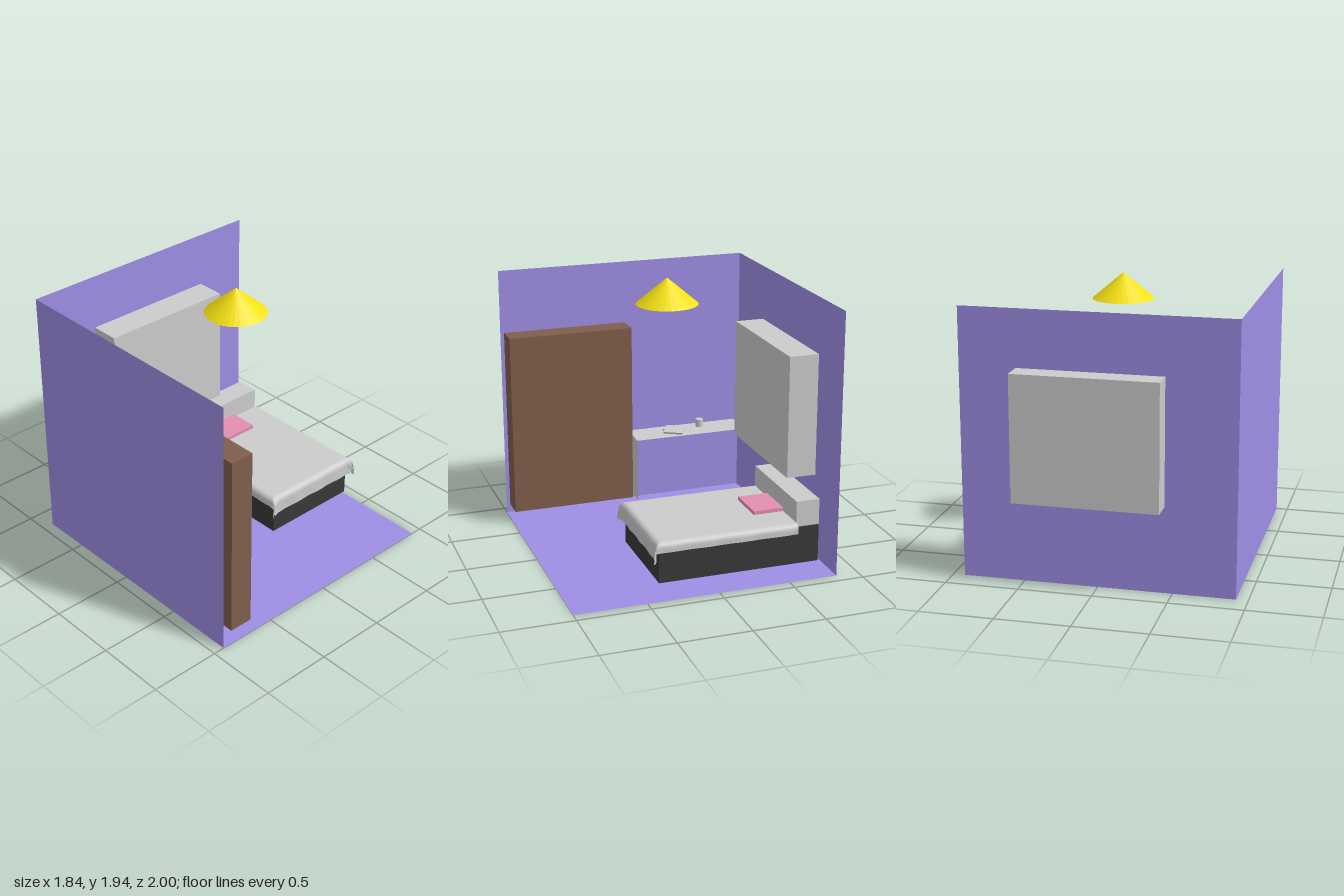
import * as THREE from 'three';

const mat = (color, extra = {}) => new THREE.MeshStandardMaterial({ color, ...extra });
const grey = mat(0xcccccc);
const greySheet = mat(0xcccccc, { side: THREE.DoubleSide });
const purple = mat(0x9e8ee5, { side: THREE.DoubleSide });
const brown = mat(0x805e4c);
const dark = mat(0x383838);
const pink = mat(0xe38fb2);
const yellow = mat(0xf5e012, { flatShading: true, side: THREE.DoubleSide });

export function createModel() {
  const room = new THREE.Group();
  room.name = 'bedroom';

  const add = (name, geometry, material, parent = room) => {
    const mesh = new THREE.Mesh(geometry, material);
    mesh.name = name;
    parent.add(mesh);
    return mesh;
  };
  // Box given by its lower and upper limits on each axis
  const box = (name, [x0, x1], [y0, y1], [z0, z1], material, parent) => {
    const mesh = add(name, new THREE.BoxGeometry(x1 - x0, y1 - y0, z1 - z0), material, parent);
    mesh.position.set((x0 + x1) / 2, (y0 + y1) / 2, (z0 + z1) / 2);
    return mesh;
  };
  // Thin sheet, turned to face the wanted axis
  const sheet = (name, w, h, pos, rot, material, parent) => {
    const mesh = add(name, new THREE.PlaneGeometry(w, h), material, parent);
    mesh.position.set(...pos);
    mesh.rotation.set(...rot);
    return mesh;
  };
  const group = (name) => {
    const g = new THREE.Group();
    g.name = name;
    room.add(g);
    return g;
  };

  // Room shell: floor and two walls
  sheet('floor', 1.84, 1.84, [0, 0, 0.08], [-Math.PI / 2, 0, 0], purple);
  sheet('backWall', 1.84, 1.84, [0, 0.92, -0.84], [0, 0, 0], purple);
  sheet('sideWall', 1.84, 1.84, [-0.92, 0.92, 0.08], [0, Math.PI / 2, 0], purple);

  box('windowBlock', [-0.445, 0.535], [0.59, 1.45], [-1, -0.63], grey);
  box('wardrobe', [-0.842, -0.672], [0.095, 1.405], [0.09, 0.99], brown);

  // Ceiling lamp
  const lamp = add('lampShade', new THREE.ConeGeometry(0.212, 0.18, 32), yellow);
  lamp.position.set(0.045, 1.845, 0.065);

  // Desk: thin top and one end panel
  const desk = group('desk');
  sheet('deskTop', 0.245, 0.845, [-0.715, 0.567, -0.347], [-Math.PI / 2, 0, 0], greySheet, desk);
  sheet('deskEndPanel', 0.245, 0.467, [-0.715, 0.333, 0.075], [0, 0, 0], greySheet, desk);

  const mug = add('mug', new THREE.CylinderGeometry(0.028, 0.028, 0.058, 32), grey, desk);
  mug.position.set(-0.755, 0.597, -0.466);

  // Two books, one leaning on the other
  const books = [
    ['lowerBook', [-0.745, 0.574, -0.257], -0.64, 0],
    ['leaningBook', [-0.672, 0.592, -0.235], -0.53, -0.24],
  ];
  for (const [name, pos, yaw, tilt] of books) {
    const book = add(name, new THREE.BoxGeometry(0.1, 0.013, 0.14), grey, desk);
    book.position.set(...pos);
    book.rotation.set(0, yaw, tilt);
  }

  // Bed
  const bed = group('bed');
  box('bedBase', [0.112, 0.84], [0.095, 0.36], [-0.735, 0.395], dark, bed);
  box('headboard', [0.112, 0.84], [0.36, 0.54], [-0.735, -0.57], grey, bed);
  box('pillow', [0.33, 0.62], [0.375, 0.415], [-0.575, -0.355], pink, bed);
  add('blanket', blanketGeometry(), greySheet, bed);

  return room;
}

// Cloth lying flat on the bed, rolling over both sides and the foot
function blanketGeometry() {
  const r = 0.04, quarter = r * Math.PI / 2;
  const out = (a) => r * Math.sin(Math.min(a / r, Math.PI / 2));
  const drop = (a) => (a < quarter ? r * (1 - Math.cos(a / r)) : r + a - quarter);
  const halfWidth = 0.357, sideHang = 0.093, footHang = 0.148;
  const cx = 0.477, head = -0.575, foot = 0.383, top = 0.39;

  const geo = new THREE.PlaneGeometry(2, 1, 96, 96);
  const p = geo.attributes.position;
  for (let i = 0; i < p.count; i++) {
    const s = p.getX(i) * (halfWidth + sideHang);
    const t = head + (0.5 - p.getY(i)) * (foot + footHang - head);
    const ax = Math.max(0, Math.abs(s) - halfWidth);
    const az = Math.max(0, t - foot);
    // Folds gather where the side and foot overhangs meet
    const corner = (ax / sideHang) * (az / footHang);
    const fold = Math.sqrt(corner) * 0.012 * (1 + Math.sin(ax * 110 - az * 90));
    const ripple = 0.002 * (ax / sideHang) * Math.sin(t * 25);
    const flutter = 0.003 * (az / footHang) * Math.sin(s * 30);
    const x = Math.min(Math.abs(s), halfWidth) + out(ax) + ripple + fold * 0.5;
    const z = Math.min(t, foot) + out(az) + flutter + fold;
    const y = top - Math.min(Math.hypot(drop(ax), drop(az)), 0.14);
    p.setXYZ(i, cx + Math.sign(s) * x, y, z);
  }
  geo.computeVertexNormals();
  return geo;
}
